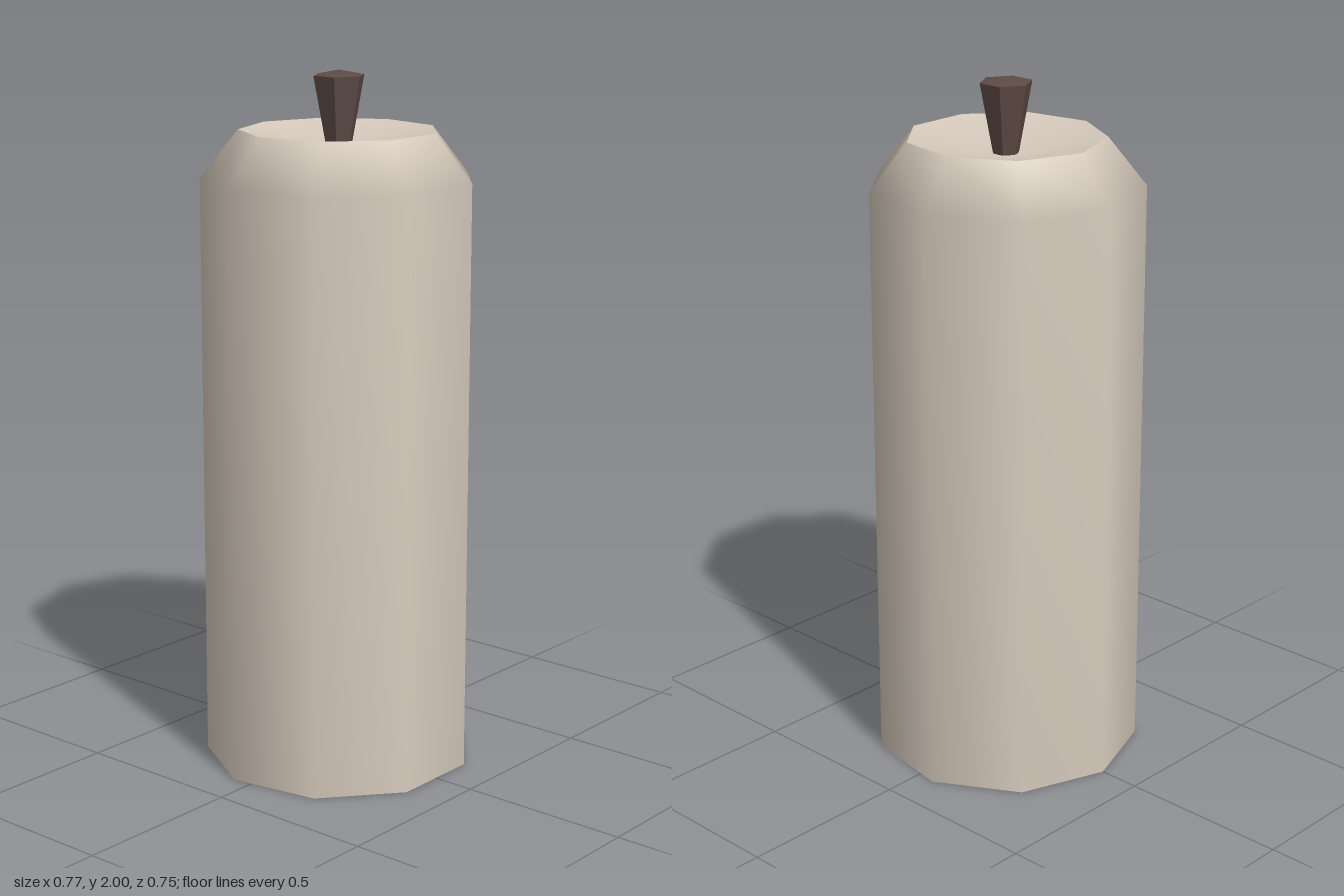
import * as THREE from 'three';
import { toCreasedNormals } from 'three/addons/utils/BufferGeometryUtils.js';

export function createModel() {
  const model = new THREE.Group();
  model.name = 'candle';

  const wax = new THREE.MeshStandardMaterial({ color: 0xd6cabc });
  wax.name = 'wax';
  const char = new THREE.MeshStandardMaterial({ color: 0x5e4b46 });
  char.name = 'charredWick';

  const SIDES = 9, RADIUS = 0.389, RIM = 0.281;
  const SHOULDER_Y = 1.70, RIM_Y = 1.835, POOL_Y = 1.78;

  function add(name, geometry, material) {
    const mesh = new THREE.Mesh(geometry, material);
    mesh.name = name;
    model.add(mesh);
  }

  // Nine-sided disc facing up, its centre moved by rise
  function disc(radius, rise) {
    const g = new THREE.CircleGeometry(radius, SIDES, Math.PI / 2);
    g.attributes.position.setZ(0, rise);
    g.rotateX(-Math.PI / 2);
    return toCreasedNormals(g, Math.PI / 3);
  }

  // Smooth wall with sloping shoulder
  const profile = [[RADIUS, 0], [RADIUS, SHOULDER_Y], [RIM, RIM_Y]].map(
    ([r, y]) => new THREE.Vector2(r, y));
  add('body', new THREE.LatheGeometry(profile, SIDES, Math.PI), wax);

  // Sunken melt pool
  add('meltPool', disc(RIM, POOL_Y - RIM_Y).translate(0, RIM_Y, 0), wax);

  // Flat base, facing down with one point to the back
  add('base', disc(RADIUS, 0).rotateZ(Math.PI), wax);

  // Hexagonal wick, widening upwards to a low point
  const wickProfile = [[0.034, 1.77], [0.075, 1.985], [0, 2]].map(
    ([r, y]) => new THREE.Vector2(r, y));
  const wick = new THREE.LatheGeometry(wickProfile, 6);
  add('wick', toCreasedNormals(wick, Math.PI / 6), char);

  // Centre the odd-sided outline front to back
  for (const part of model.children) part.position.z = 0.01;
  return model;
}
